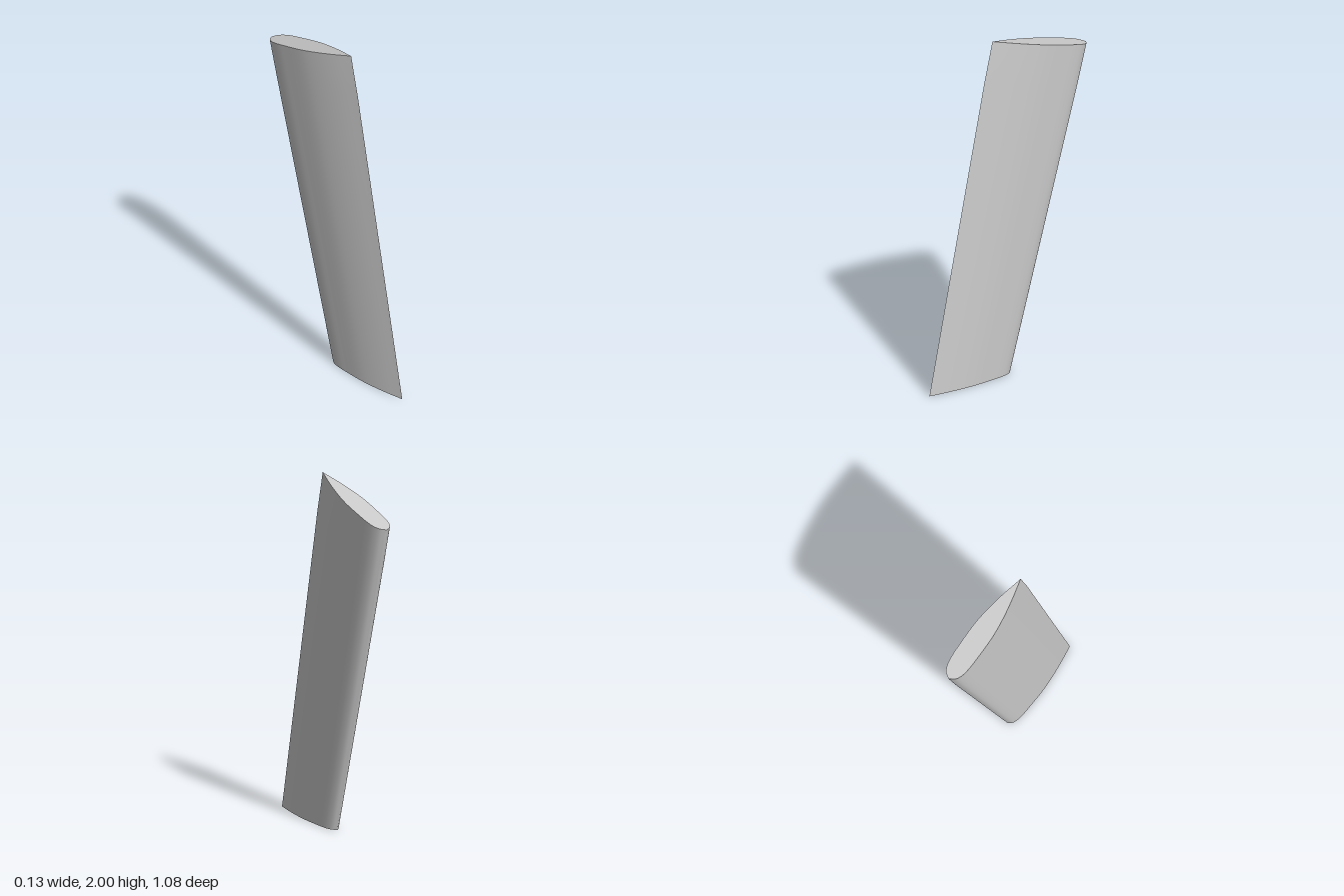
import * as THREE from 'three';

// Half-thickness of the foil from rounded back edge (0) to sharp front edge (1)
const PROFILE = [[0, 0], [0.03, 0.5], [0.084, 0.81], [0.17, 0.96], [0.28, 1], [0.48, 1], [0.64, 0.82], [0.81, 0.49], [1, 0]];

// Sections from root to tip: front edge, back edge, half-thickness, sideways shift
const SECTIONS = [
  { front: [0.54, 0], back: [-0.02, 0], half: 0.038, x: -0.011 },
  { front: [0.165, 1.77], back: [-0.48, 1.605], half: 0.06, x: -0.001 },
  { front: [0.11, 2], back: [-0.54, 1.827], half: 0.063, x: 0 },
];

// Closed outline of one section, starting and ending on the sharp front edge
function outline({ front, back, half, x }) {
  const curve = new THREE.CatmullRomCurve3(PROFILE.map(([t, w]) => new THREE.Vector3(w * half, 0, t)), false, 'centripetal');
  const side = curve.getPoints(32).map((p) => [p.x, p.z]);
  const loop = [...side].reverse().concat(side.slice(1).map(([w, t]) => [-w, t]));
  return loop.map(([w, t]) => [
    x + w,
    THREE.MathUtils.lerp(back[1], front[1], t),
    THREE.MathUtils.lerp(back[0], front[0], t),
  ]);
}

function makeGeometry(points, index) {
  const geometry = new THREE.BufferGeometry();
  geometry.setAttribute('position', new THREE.Float32BufferAttribute(points.flat(), 3));
  geometry.setIndex(index);
  geometry.computeVertexNormals();
  return geometry;
}

// Smooth skin joining neighbouring sections
function skin(rings) {
  const n = rings[0].length;
  const index = [];
  for (let r = 0; r < rings.length - 1; r++) {
    for (let i = 0; i < n - 1; i++) {
      const a = r * n + i;
      const b = a + n;
      index.push(a, a + 1, b + 1, a, b + 1, b);
    }
  }
  return makeGeometry(rings.flat(), index);
}

// Flat end face fanned around the middle of the section
function cap(ring, up) {
  const n = ring.length;
  const h = (n - 1) / 2;
  const centre = ring[0].map((v, k) => (v + ring[h][k]) / 2);
  const index = [];
  for (let i = 0; i < n - 1; i++) index.push(n, ...(up ? [i, i + 1] : [i + 1, i]));
  return makeGeometry([...ring, centre], index);
}

export function createModel() {
  const group = new THREE.Group();
  group.name = 'sweptFoil';
  const material = new THREE.MeshStandardMaterial({ color: 0xcccccc });
  const rings = SECTIONS.map(outline);
  const add = (name, geometry) => {
    const mesh = new THREE.Mesh(geometry, material);
    mesh.name = name;
    group.add(mesh);
  };
  add('foilSkin', skin(rings));
  add('rootFace', cap(rings[0], false));
  add('tipFace', cap(rings[rings.length - 1], true));
  return group;
}
